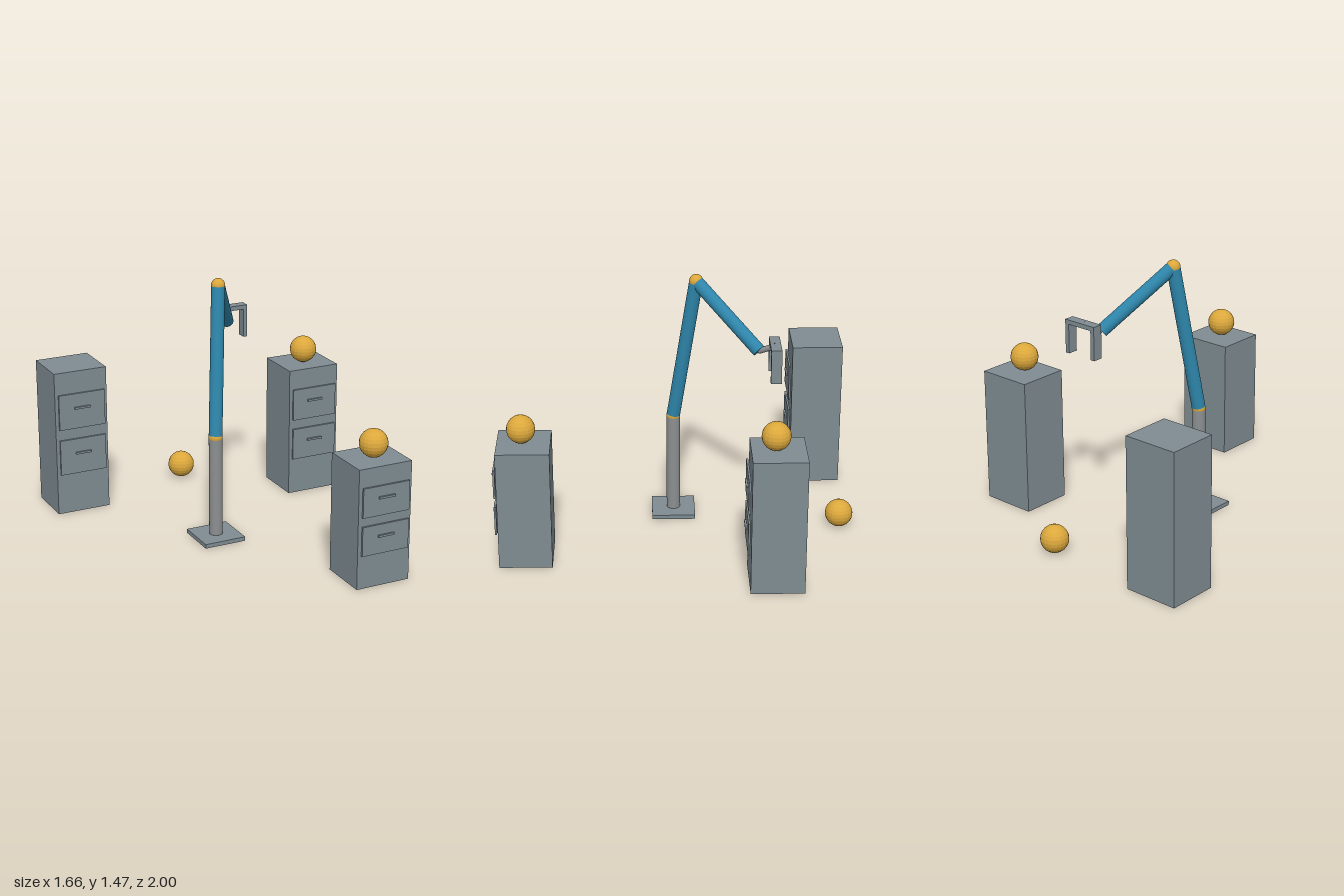
import * as THREE from 'three';

const paint = (name, color) => {
  const m = new THREE.MeshStandardMaterial({ color });
  m.name = name;
  return m;
};

export function createModel() {
  const slate = paint('slate grey', 0x7f8c92);
  const steel = paint('steel grey', 0x8c8f90);
  const blue = paint('arm blue', 0x2e86ab);
  const gold = paint('gold', 0xdca83c);
  const goldFacet = paint('faceted gold', 0xdca83c);
  goldFacet.flatShading = true;

  const model = new THREE.Group();
  model.name = 'robotArmAndCabinets';

  const add = (parent, name, geometry, material, x, y, z) => {
    const mesh = new THREE.Mesh(geometry, material);
    mesh.name = name;
    mesh.position.set(x, y, z);
    parent.add(mesh);
    return mesh;
  };
  const box = (parent, name, material, w, h, d, x, y, z) =>
    add(parent, name, new THREE.BoxGeometry(w, h, d), material, x, y, z);

  // Cylinder running between two points
  const rod = (parent, name, material, a, b, radius) => {
    const dir = b.clone().sub(a);
    const mid = a.clone().add(b).multiplyScalar(0.5);
    const mesh = add(parent, name, new THREE.CylinderGeometry(radius, radius, dir.length(), 24),
      material, mid.x, mid.y, mid.z);
    mesh.quaternion.setFromUnitVectors(new THREE.Vector3(0, 1, 0), dir.normalize());
  };

  // Filing cabinets: body, two drawer fronts and their handles
  const cabinet = (name, x, z, height) => {
    const g = new THREE.Group();
    g.name = name;
    g.position.set(x, 0, z);
    model.add(g);
    box(g, 'body', slate, 0.317, height, 0.29, 0, height / 2, 0);
    for (const level of [0.407, 0.727]) {
      const y = height * level;
      box(g, 'drawerFront', slate, 0.28, height * 0.245, 0.011, 0, y, 0.1565);
      box(g, 'drawerHandle', slate, 0.095, 0.012, 0.011, 0, y + 0.019, 0.1675);
    }
  };
  cabinet('tallCabinet', -0.675, -0.834, 0.857);
  cabinet('middleCabinet', 0.671, -0.522, 0.767);
  cabinet('shortCabinet', 0.358, 0.827, 0.678);

  // Balls: one on the floor, two on cabinets
  for (const [name, x, y, z] of [
    ['floorBall', 0.057, 0.08, -0.922],
    ['middleCabinetBall', 0.67, 0.847, -0.507],
    ['shortCabinetBall', 0.36, 0.758, 0.839],
  ]) add(model, name, new THREE.SphereGeometry(0.078, 20, 12), goldFacet, x, y, z);

  // Robot arm
  const arm = new THREE.Group();
  arm.name = 'robotArm';
  model.add(arm);
  const foot = new THREE.Vector3(-0.159, 0.022, 0.012);
  const shoulder = new THREE.Vector3(-0.159, 0.6, 0.012);
  const elbow = new THREE.Vector3(-0.08, 1.43, -0.111);
  const wrist = new THREE.Vector3(0.138, 1.107, -0.445);
  const palm = new THREE.Vector3(0.192, 1.156, -0.53);

  box(arm, 'basePlate', slate, 0.245, 0.024, 0.245, foot.x, 0.012, foot.z);
  rod(arm, 'column', steel, foot, shoulder, 0.038);
  rod(arm, 'upperArm', blue, shoulder, elbow, 0.038);
  rod(arm, 'forearm', blue, elbow, wrist, 0.037);
  rod(arm, 'wristLink', steel, wrist, palm, 0.016);
  for (const [name, p] of [['shoulderJoint', shoulder], ['elbowJoint', elbow]])
    add(arm, name, new THREE.SphereGeometry(0.039, 24, 16), gold, p.x, p.y, p.z);

  // Gripper: crossbar with two hanging fingers
  const gripper = new THREE.Group();
  gripper.name = 'gripper';
  gripper.position.copy(palm);
  arm.add(gripper);
  box(gripper, 'crossbar', slate, 0.208, 0.025, 0.058, 0, 0, 0);
  for (const side of [-1, 1])
    box(gripper, 'finger', slate, 0.025, 0.166, 0.058, side * 0.0915, -0.0945, 0);

  return model;
}
